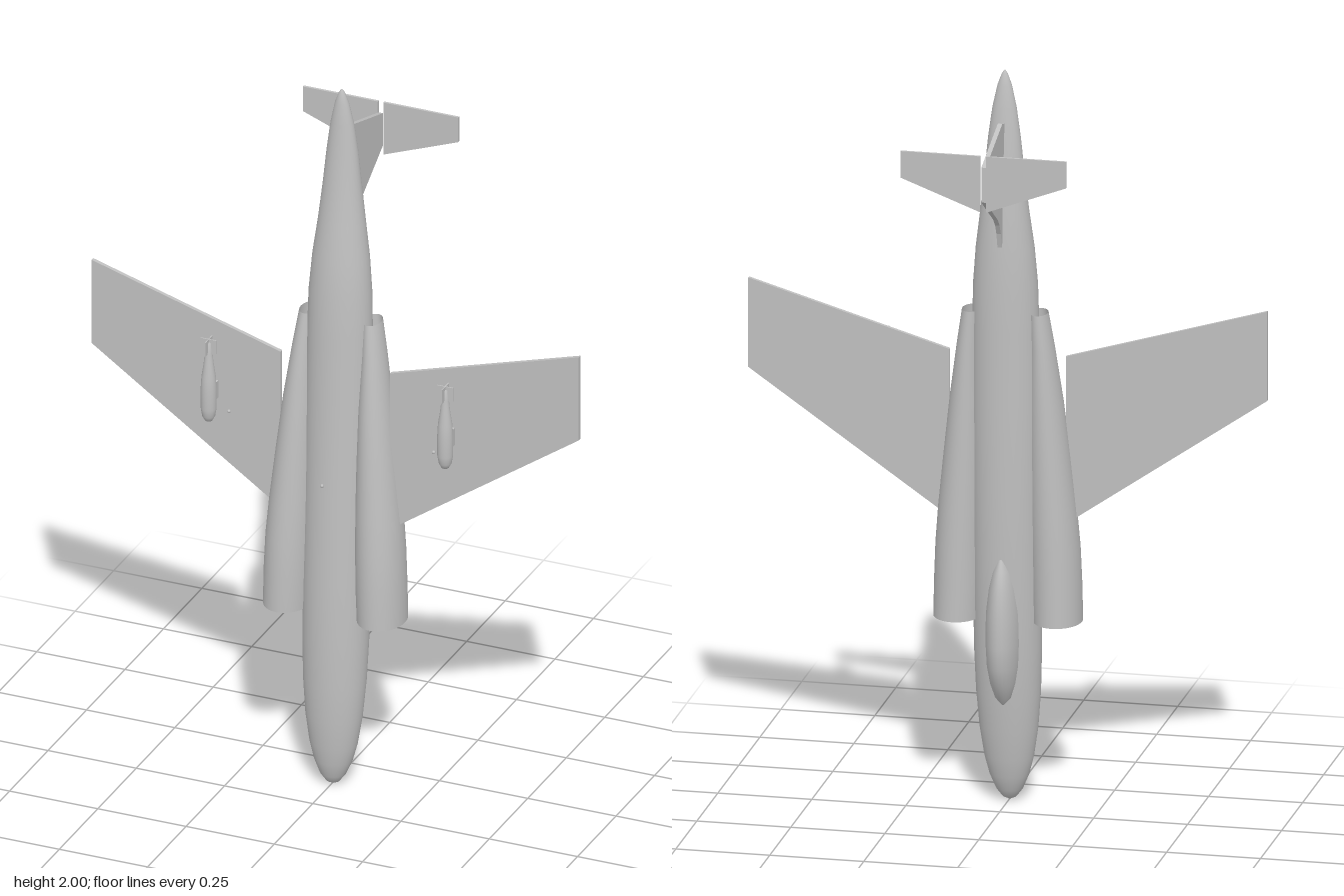
import * as THREE from 'three';

const grey = new THREE.MeshStandardMaterial({ color: 0xc0c0c0, side: THREE.DoubleSide });
grey.name = 'light grey';

function part(parent, name, geometry) {
  const mesh = new THREE.Mesh(geometry, grey);
  mesh.name = name;
  parent.add(mesh);
  return mesh;
}

// Smooth skin through elliptical rings [y, centre x, centre z, radius x, radius z]
function loft(rings, sides = 32) {
  const pos = [], index = [];
  rings.forEach(([y, cx, cz, rx, rz], r) => {
    for (let i = 0; i < sides; i++) {
      const a = (i / sides) * Math.PI * 2;
      pos.push(cx + rx * Math.cos(a), y, cz + rz * Math.sin(a));
      if (r === rings.length - 1) continue;
      const p = r * sides + i, q = r * sides + (i + 1) % sides;
      index.push(p, p + sides, q, q, p + sides, q + sides);
    }
  });
  const g = new THREE.BufferGeometry();
  g.setAttribute('position', new THREE.Float32BufferAttribute(pos, 3));
  g.setIndex(index);
  g.computeVertexNormals();
  return g;
}

// Flat plate from an outline in x and y, centred on its thickness
function plate(points, thickness) {
  const shape = new THREE.Shape(points.map(([x, y]) => new THREE.Vector2(x, y)));
  return new THREE.ExtrudeGeometry(shape, { depth: thickness, bevelEnabled: false })
    .translate(0, 0, -thickness / 2);
}

// Outline mirrored across x, keeping its winding
const mirror = (points, s) => (s > 0 ? points : points.map(([x, y]) => [-x, y]).reverse());

function bomb(s) {
  const g = new THREE.Group();
  g.name = s > 0 ? 'leftBomb' : 'rightBomb';
  const profile = [[0, 1.005], [0.01, 1.009], [0.017, 1.022], [0.021, 1.045], [0.021, 1.1],
    [0.019, 1.135], [0.013, 1.175], [0.01, 1.205], [0.007, 1.235], [0, 1.237]]
    .map(([r, y]) => new THREE.Vector2(r, y));
  part(g, 'bombBody', new THREE.LatheGeometry(profile, 20));
  for (let i = 0; i < 2; i++) {
    const fin = part(g, 'bombFin', new THREE.BoxGeometry(0.045, 0.04, 0.003));
    fin.position.y = 1.225;
    fin.rotation.y = i * Math.PI / 2;
  }
  part(g, 'pylon', new THREE.BoxGeometry(0.008, 0.05, 0.05)).position.set(0, 1.075, -0.034);
  g.position.set(s * 0.335, 0, 0.158);
  return g;
}

export function createModel() {
  const model = new THREE.Group();
  model.name = 'jetAircraft';

  // Fuselage, nose down with the belly facing forward
  part(model, 'fuselage', loft([
    [0, 0, 0.12, 0.001, 0.001], [0.008, 0, 0.119, 0.018, 0.016], [0.03, 0, 0.118, 0.035, 0.031],
    [0.07, 0, 0.116, 0.052, 0.044], [0.12, 0, 0.114, 0.065, 0.053], [0.2, 0, 0.111, 0.077, 0.064],
    [0.3, 0, 0.106, 0.085, 0.071], [0.42, 0, 0.1, 0.089, 0.077], [0.6, 0, 0.094, 0.09, 0.08],
    [0.85, 0, 0.084, 0.09, 0.079], [1.1, 0, 0.078, 0.09, 0.074], [1.3, 0, 0.073, 0.088, 0.072],
    [1.42, 0, 0.07, 0.085, 0.07], [1.52, 0, 0.066, 0.077, 0.064], [1.62, 0, 0.061, 0.064, 0.054],
    [1.72, 0, 0.058, 0.053, 0.043], [1.82, 0, 0.057, 0.043, 0.032], [1.9, 0, 0.058, 0.032, 0.024],
    [1.96, 0, 0.06, 0.019, 0.016], [1.99, 0, 0.061, 0.008, 0.008], [2, 0, 0.062, 0.001, 0.001]]));

  // Canopy on the back of the nose
  part(model, 'canopy', loft([
    [0.275, 0, 0.045, 0.002, 0.004], [0.3, 0, 0.045, 0.022, 0.026], [0.34, 0, 0.045, 0.034, 0.051],
    [0.39, 0, 0.045, 0.042, 0.07], [0.45, 0, 0.045, 0.045, 0.076], [0.53, 0, 0.045, 0.044, 0.075],
    [0.6, 0, 0.045, 0.036, 0.067], [0.65, 0, 0.04, 0.024, 0.046], [0.69, 0, 0.035, 0.006, 0.02]], 24));

  // Tail fin: outline in -z and y, turned upright
  const fin = [[-0.04, 1.86], [-0.03, 1.53], [0, 1.535], [0.012, 1.575], [0.028, 1.603],
    [0.05, 1.625], [0.192, 1.715], [0.192, 1.81], [-0.005, 1.87]];
  part(model, 'tailFin', plate(fin, 0.012).rotateY(Math.PI / 2));

  for (const s of [1, -1]) {
    const side = s > 0 ? 'left' : 'right';

    // Open engine nacelle, wide intake at the bottom and narrow exhaust at the top
    part(model, side + 'Nacelle', loft([
      [0.5, s * 0.133, 0.102, 0.064, 0.081], [0.6, s * 0.13, 0.102, 0.065, 0.081],
      [0.7, s * 0.127, 0.1, 0.064, 0.079], [0.8, s * 0.122, 0.096, 0.061, 0.074],
      [0.95, s * 0.114, 0.09, 0.053, 0.067], [1.1, s * 0.106, 0.083, 0.044, 0.058],
      [1.25, s * 0.098, 0.073, 0.031, 0.046], [1.345, s * 0.09, 0.066, 0.024, 0.037]]
      .map((r) => r)));

    // Swept wing
    const wing = [[0.155, 0.765], [0.69, 1.135], [0.69, 1.378], [0.155, 1.22]];
    part(model, side + 'Wing', plate(mirror(wing, s), 0.011)).position.z = 0.099;

    // Half of the high tailplane
    const tail = [[0.008, 1.69], [0.22, 1.77], [0.22, 1.842], [0.008, 1.842]];
    part(model, side + 'Tailplane', plate(mirror(tail, s), 0.007)).position.z = -0.194;

    model.add(bomb(s));

    // Small sensor under the wing
    part(model, side + 'Sensor', new THREE.SphereGeometry(0.005, 8, 6)).position.set(s * 0.29, 1.03, 0.13);
  }
  part(model, 'bellySensor', new THREE.SphereGeometry(0.005, 8, 6)).position.set(0, 0.9, 0.19);

  return model;
}
